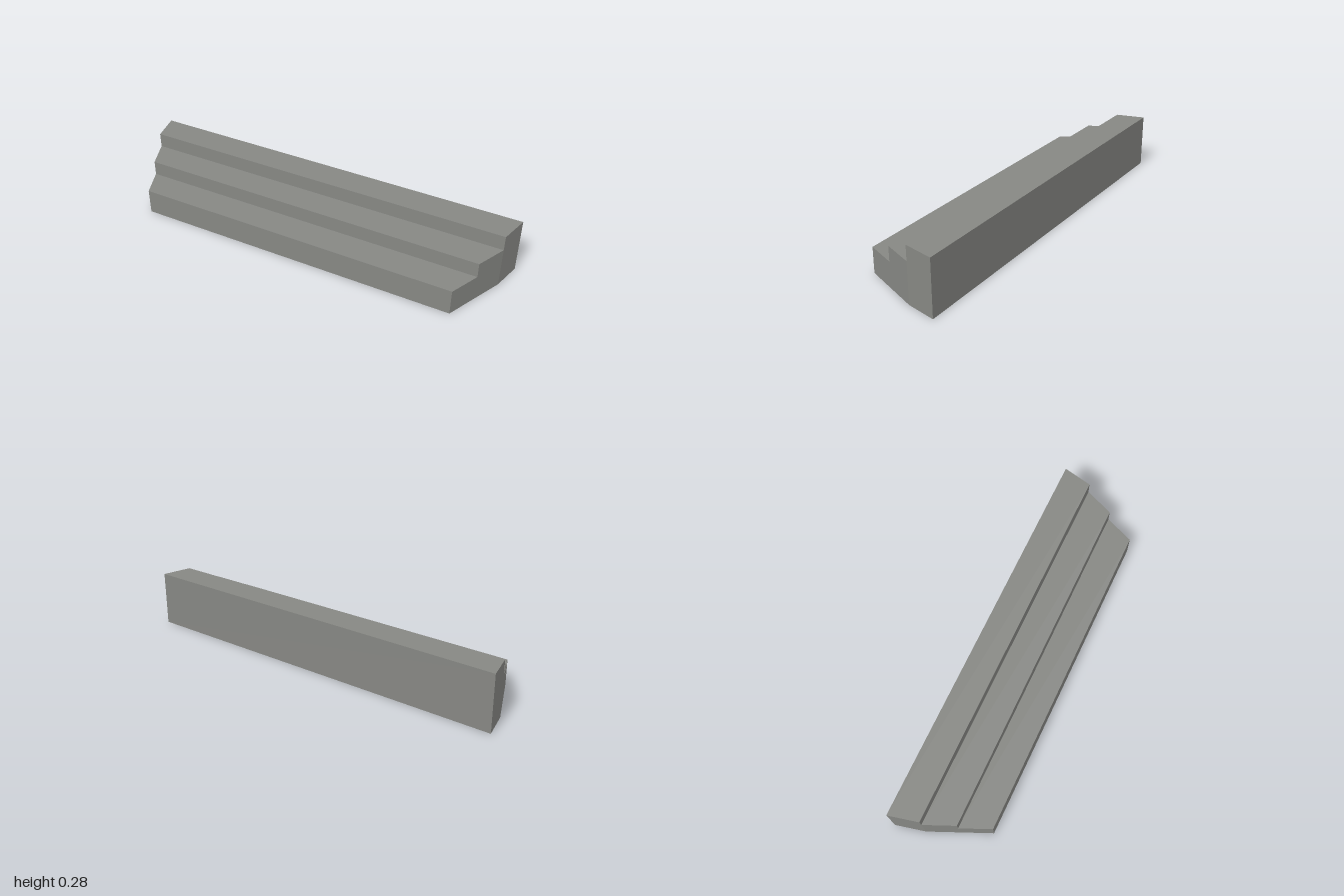
import * as THREE from 'three';

// Plan stations from back to front: depth z and half width x
const stations = [[-0.225, 1], [-0.075, 0.965], [0.075, 0.9], [0.225, 0.835]];
// Tread heights between neighbouring stations, back to front
const heights = [0.28, 0.205, 0.13];

// Geometry from four-cornered faces, corners counter-clockwise from outside
function quads(faces) {
  const positions = [];
  for (const [a, b, c, d] of faces) positions.push(...a, ...b, ...c, ...a, ...c, ...d);
  const geometry = new THREE.BufferGeometry();
  geometry.setAttribute('position', new THREE.Float32BufferAttribute(positions, 3));
  geometry.computeVertexNormals();
  return geometry;
}

// Upright wall across x at depth z, facing the front
const wall = (z, w, y0, y1) => [[-w, y0, z], [w, y0, z], [w, y1, z], [-w, y1, z]];

export function createModel() {
  const stone = new THREE.MeshStandardMaterial({ color: 0x868783 });
  stone.name = 'grey stone';
  const model = new THREE.Group();
  model.name = 'steps';

  heights.forEach((h, i) => {
    const [z0, w0] = stations[i];
    const [z1, w1] = stations[i + 1];
    const next = heights[i + 1] ?? 0;
    const faces = [
      // tread and underside
      [[-w0, h, z0], [-w1, h, z1], [w1, h, z1], [w0, h, z0]],
      [[-w0, 0, z0], [w0, 0, z0], [w1, 0, z1], [-w1, 0, z1]],
      // slanted ends
      [[w1, 0, z1], [w0, 0, z0], [w0, h, z0], [w1, h, z1]],
      [[-w0, 0, z0], [-w1, 0, z1], [-w1, h, z1], [-w0, h, z0]],
      // riser down to the next tread
      wall(z1, w1, next, h),
    ];
    // back wall behind the top step
    if (i === 0) faces.push(wall(z0, w0, 0, h).reverse());
    const step = new THREE.Mesh(quads(faces), stone);
    step.name = ['topStep', 'middleStep', 'bottomStep'][i];
    model.add(step);
  });
  return model;
}
